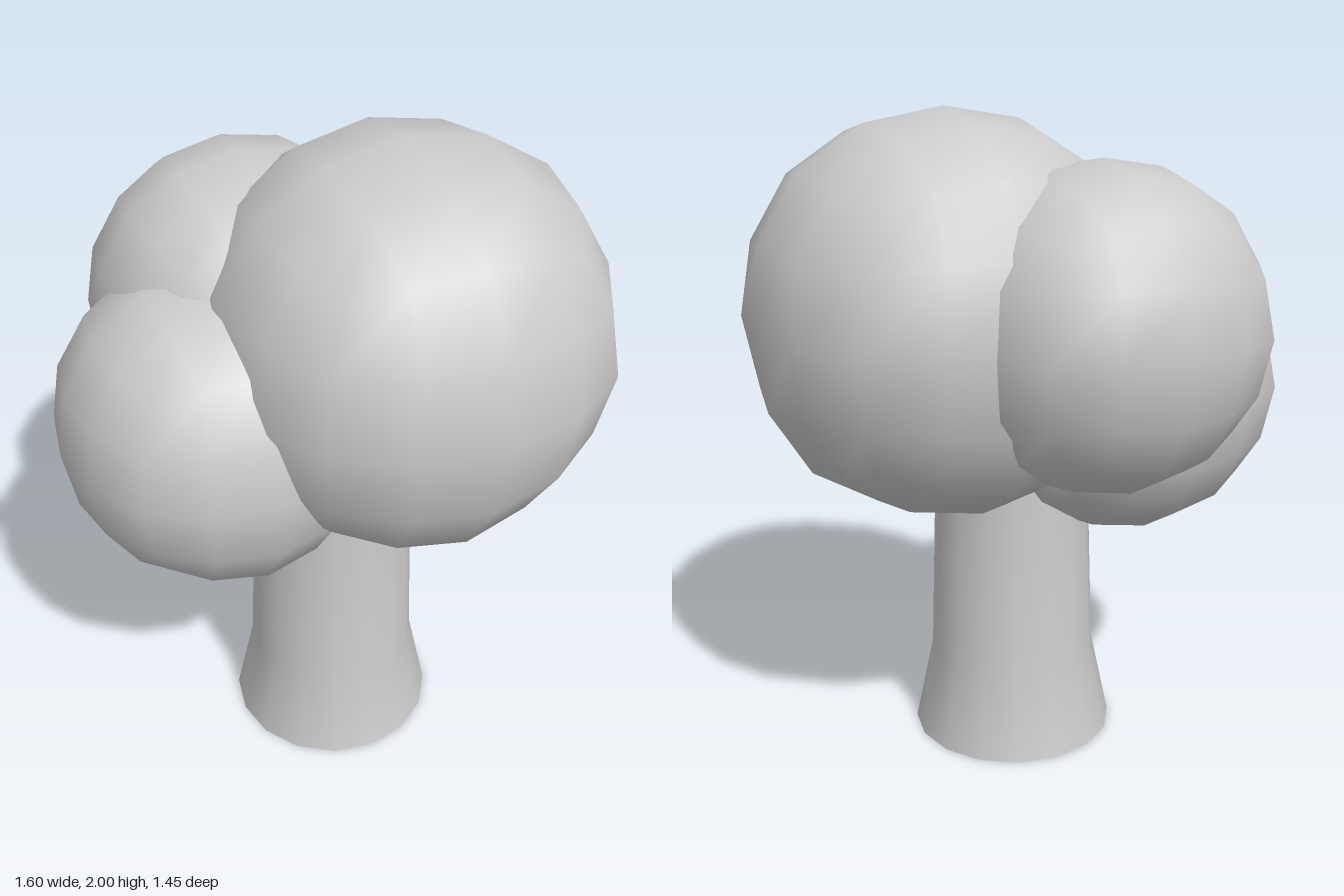
import * as THREE from 'three';
import { mergeVertices } from 'three/addons/utils/BufferGeometryUtils.js';

// Coordinates of a twice-smoothed cube, keyed by the sorted grid position (0, 1 or 2 per axis)
const ROUNDED = {
  '200': { 2: 1, 0: 0 },
  '210': { 2: 0.933, 1: 0.399, 0: 0 },
  '211': { 2: 0.87, 1: 0.371 },
  '220': { 2: 0.732, 0: 0 },
  '221': { 2: 0.682, 1: 0.344 },
  '222': { 2: 0.579 },
};

// A 4 x 4 x 4 box grid rounded into a smooth ball
function ballGeometry() {
  let geo = new THREE.BoxGeometry(4, 4, 4, 4, 4, 4);
  geo.deleteAttribute('normal');
  geo.deleteAttribute('uv');
  geo = mergeVertices(geo);
  const pos = geo.attributes.position;
  for (let i = 0; i < pos.count; i++) {
    const p = [pos.getX(i), pos.getY(i), pos.getZ(i)].map(Math.round);
    const key = p.map(Math.abs).sort((a, b) => b - a).join('');
    pos.setXYZ(i, ...p.map((v) => Math.sign(v) * ROUNDED[key][Math.abs(v)]));
  }
  geo.computeVertexNormals();
  return geo;
}

export function createModel() {
  const group = new THREE.Group();
  group.name = 'tree';
  const material = new THREE.MeshStandardMaterial({ color: 0xcccccc });

  // Foliage: three overlapping balls
  const ball = ballGeometry();
  const foliage = [
    ['foliageMain', 0.605, 0.194, 1.396, 0.122],
    ['foliageBack', 0.478, -0.125, 1.395, -0.249],
    ['foliageSide', 0.478, -0.322, 1.177, -0.016],
  ];
  for (const [name, radius, x, y, z] of foliage) {
    const mesh = new THREE.Mesh(ball, material);
    mesh.name = name;
    mesh.scale.setScalar(radius);
    mesh.position.set(x, y, z);
    group.add(mesh);
  }

  // Trunk: open tube with a flared foot
  const profile = [[0.323, 0], [0.264, 0.28], [0.246, 0.8], [0.238, 1.05]];
  const trunk = new THREE.Mesh(
    new THREE.LatheGeometry(profile.map(([r, y]) => new THREE.Vector2(r, y)), 16),
    new THREE.MeshStandardMaterial({ color: 0xcccccc, side: THREE.DoubleSide })
  );
  trunk.name = 'trunk';
  trunk.position.set(-0.008, 0, 0.094);
  group.add(trunk);

  return group;
}
